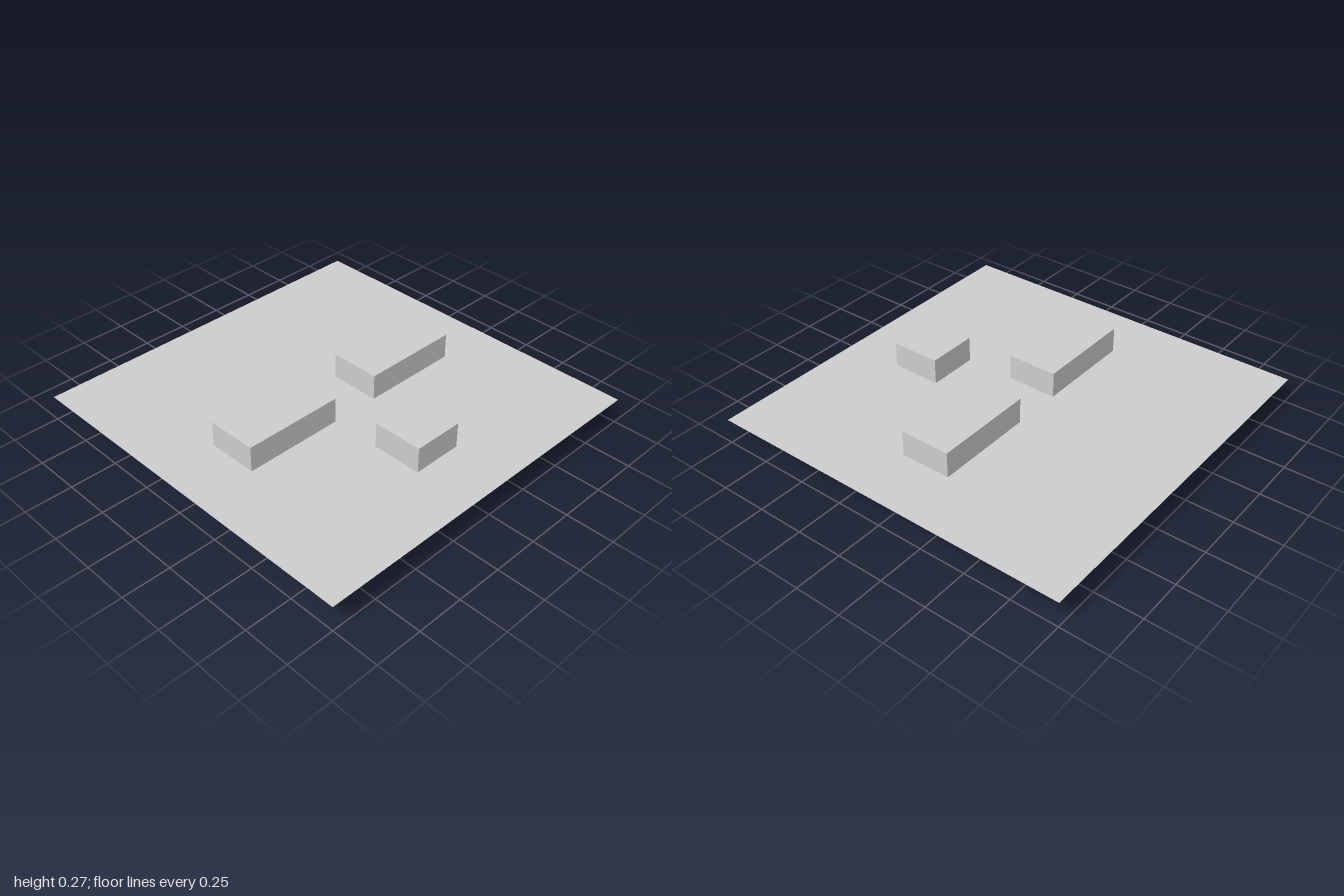
import * as THREE from 'three';

const HEIGHT = 0.274; // every block, half above and half below the sheet

// Blocks: name, centre x, centre z, width, depth
const BLOCKS = [
  ['leftBlock', 0.405, 0, 0.54, 0.272],
  ['rightBlock', -0.405, 0, 0.54, 0.272],
  ['frontBlock', 0, 0.542, 0.272, 0.268],
];

export function createModel() {
  const model = new THREE.Group();
  const grey = new THREE.MeshStandardMaterial({ color: 0xcccccc, side: THREE.DoubleSide });
  grey.name = 'light grey';

  // Thin square sheet at mid height
  const sheet = new THREE.Mesh(new THREE.PlaneGeometry(2, 2).rotateX(-Math.PI / 2), grey);
  sheet.name = 'groundSheet';
  sheet.position.y = HEIGHT / 2;
  model.add(sheet);

  // Blocks passing through the sheet
  for (const [name, x, z, width, depth] of BLOCKS) {
    const block = new THREE.Mesh(new THREE.BoxGeometry(width, HEIGHT, depth), grey);
    block.name = name;
    block.position.set(x, HEIGHT / 2, z);
    model.add(block);
  }
  return model;
}
